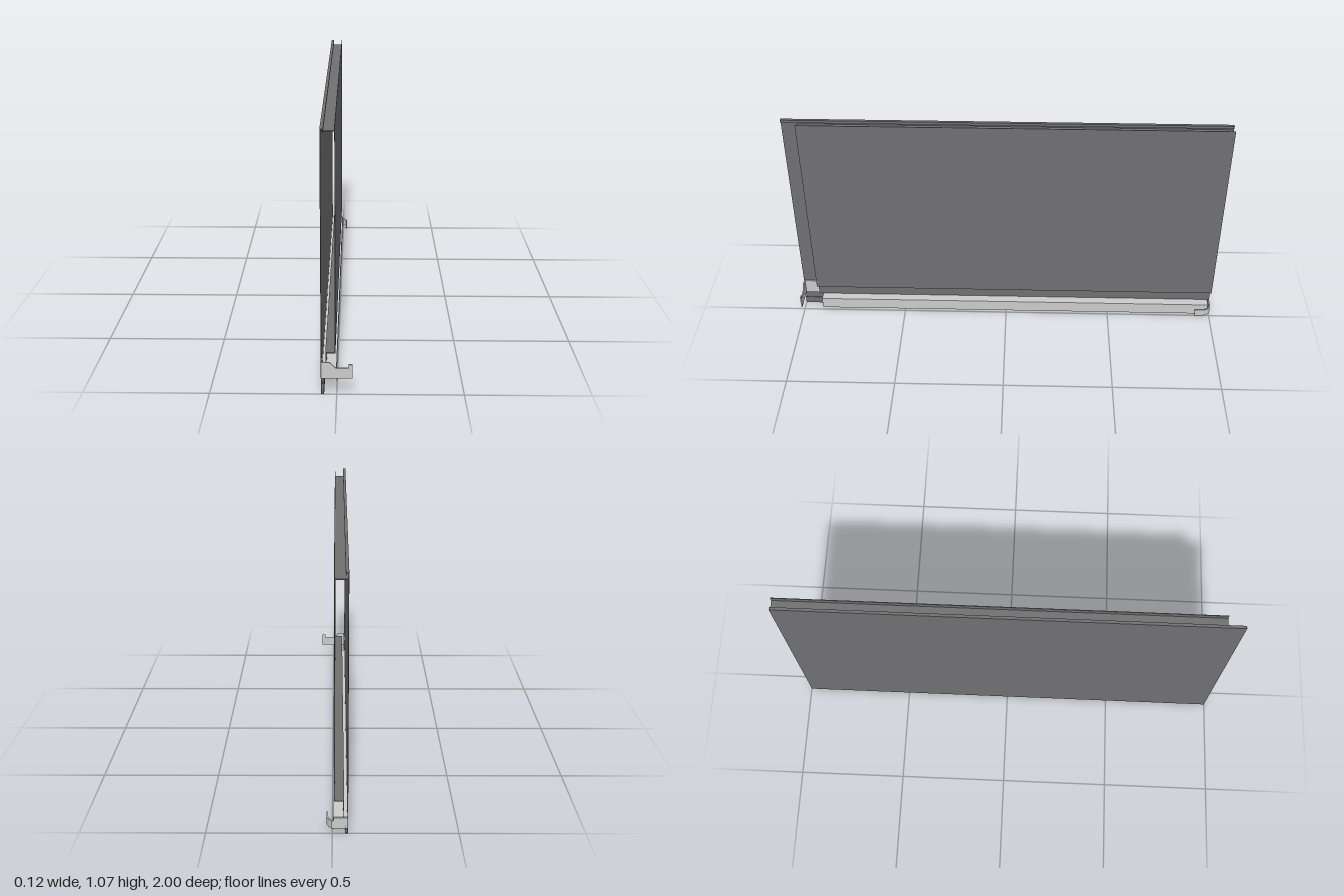
import * as THREE from 'three';

const light = new THREE.MeshStandardMaterial({ color: 0xcccccc, flatShading: true, side: THREE.DoubleSide });
const dark = new THREE.MeshStandardMaterial({ color: 0x707072, flatShading: true, side: THREE.DoubleSide });

// Closed outline of a folded sheet: mitred offset of an open path to both sides
function foldedShape(path, t) {
  const p = path.map(([x, y]) => new THREE.Vector2(x, y));
  const normal = (a, b) => {
    const d = b.clone().sub(a).normalize();
    return new THREE.Vector2(-d.y, d.x);
  };
  const left = [], right = [];
  p.forEach((q, i) => {
    const n1 = normal(p[Math.max(i - 1, 0)], p[Math.max(i, 1)]);
    const n2 = i < p.length - 1 ? normal(q, p[i + 1]) : n1;
    const m = n1.clone().add(n2);
    m.multiplyScalar(t / m.lengthSq());
    left.push(q.clone().add(m));
    right.unshift(q.clone().sub(m));
  });
  return new THREE.Shape([...left, ...right]);
}

// Extrude an xy shape from z0 to z1
function extrude(name, shape, z0, z1, material) {
  const geo = new THREE.ExtrudeGeometry(shape, { depth: z1 - z0, bevelEnabled: false });
  geo.translate(0, 0, z0);
  const mesh = new THREE.Mesh(geo, material);
  mesh.name = name;
  return mesh;
}

// Box given by its extents
function plate(name, [x0, x1], [y0, y1], [z0, z1], material) {
  const mesh = new THREE.Mesh(new THREE.BoxGeometry(x1 - x0, y1 - y0, z1 - z0), material);
  mesh.position.set((x0 + x1) / 2, (y0 + y1) / 2, (z0 + z1) / 2);
  mesh.name = name;
  return mesh;
}

export function createModel() {
  const model = new THREE.Group();
  model.name = 'drawerSide';

  // Outer sheet with a small lip folded in at the top and the bottom
  const outer = [[-0.051, 1.057], [-0.051, 1.0685], [-0.0608, 1.0685], [-0.0608, 0.0015], [-0.051, 0.0015], [-0.051, 0.036]];
  model.add(extrude('outerSheet', foldedShape(outer, 0.003), -1, 1, dark));

  // Inner sheet, stepped back above the runner, and the channel floor at the top
  const inner = [[-0.008, 1.07], [-0.008, 0.142], [-0.045, 0.142], [-0.045, 0.067]];
  model.add(extrude('innerSheet', foldedShape(inner, 0.003), -1, 0.927, dark));
  model.add(plate('topChannelFloor', [-0.06, -0.008], [1.042, 1.046], [-1, 0.927], dark));

  // Angle runner along the bottom
  const runner = [[-0.0595, 0.066], [-0.004, 0.066], [-0.004, 0.011]];
  model.add(extrude('runner', foldedShape(runner, 0.003), -0.99, 0.908, light));

  // Front bracket: profiled plate with a flange against the outer sheet
  const bracket = new THREE.Group();
  bracket.name = 'frontBracket';
  const profile = [
    [-0.0595, 0.068], [0.0623, 0.068], [0.0623, 0.127], [0.046, 0.127], [0.046, 0.112],
    [-0.004, 0.112], [-0.028, 0.136], [-0.0595, 0.136],
  ].map(([x, y]) => new THREE.Vector2(x, y));
  bracket.add(extrude('bracketPlate', new THREE.Shape(profile), 0.994, 1, light));
  bracket.add(plate('bracketFlange', [-0.0593, -0.055], [0.068, 0.136], [0.93, 1], light));
  model.add(bracket);

  // Rear hook: end plate and a strip curling forward
  const hook = new THREE.Group();
  hook.name = 'rearHook';
  hook.add(plate('hookEndPlate', [-0.0593, -0.004], [0.021, 0.067], [-1, -0.994], light));
  const strip = foldedShape([[-0.0593, 0.997], [0.002, 0.997], [0.012, 0.985], [0.0195, 0.965], [0.0195, 0.925]], 0.006);
  const curl = extrude('hookStrip', strip, 0.021, 0.055, light);
  curl.rotation.x = -Math.PI / 2;
  hook.add(curl);
  model.add(hook);

  return model;
}
